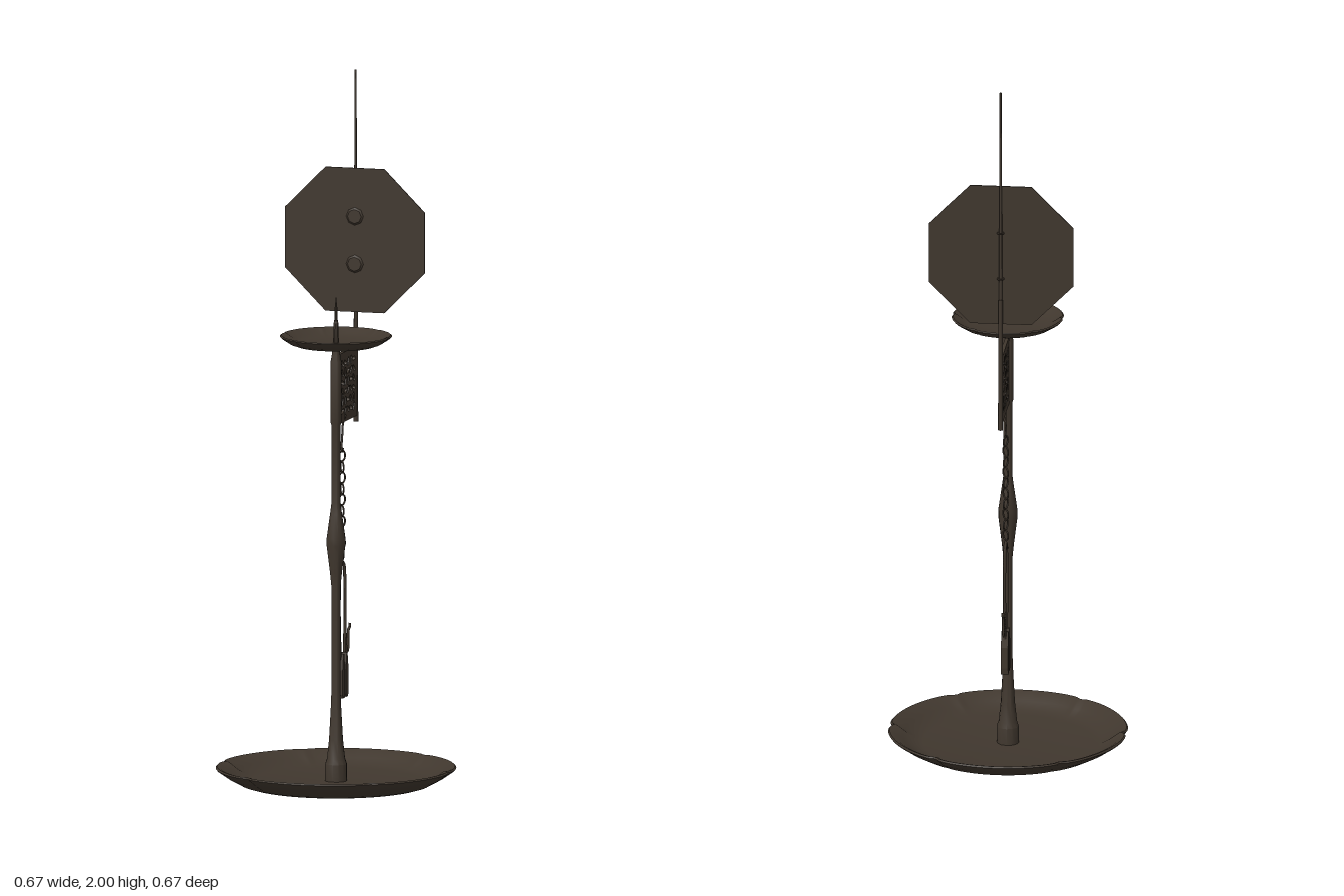
import * as THREE from 'three';
import { mergeVertices, toCreasedNormals } from 'three/addons/utils/BufferGeometryUtils.js';

const iron = new THREE.MeshStandardMaterial({ color: 0x40372e });
iron.name = 'darkIron';

const V2 = (a) => a.map(([x, y]) => new THREE.Vector2(x, y));
const rad = THREE.MathUtils.degToRad;

function add(parent, name, geometry, x = 0, y = 0, z = 0) {
  const mesh = new THREE.Mesh(geometry, iron);
  mesh.name = name;
  mesh.position.set(x, y, z);
  parent.add(mesh);
  return mesh;
}

// Turned part with crisp edges
function turned(profile, sides) {
  return toCreasedNormals(new THREE.LatheGeometry(V2(profile), sides), 0.6);
}

// Wire along points given as [z, y, x]
function wire(points, radius, steps = 32) {
  const path = new THREE.CatmullRomCurve3(points.map(([z, y, x = 0]) => new THREE.Vector3(x, y, z)));
  return new THREE.TubeGeometry(path, steps, radius, 6);
}

// Flat plate in the z-y plane; shape x runs towards -z
function sidePlate(shape, thickness) {
  const g = new THREE.ExtrudeGeometry(shape, { depth: thickness, bevelEnabled: false, curveSegments: 4 });
  return g.translate(0, 0, -thickness / 2).rotateY(Math.PI / 2);
}

// Six-lobed dish: a lathe whose wall is pinched inward at the notches
function lobedDish(profile, rimRadius, flatRadius) {
  let g = new THREE.LatheGeometry(V2(profile), 180);
  g.deleteAttribute('uv');
  g.deleteAttribute('normal');
  const p = g.attributes.position;
  const notches = [0, 57, 123, 180, 237, 303].map(rad);
  for (let i = 0; i < p.count; i++) {
    const x = p.getX(i), z = p.getZ(i), r = Math.hypot(x, z);
    const wall = THREE.MathUtils.clamp((r - flatRadius) / (rimRadius - flatRadius), 0, 1);
    if (wall === 0) continue;
    const a = Math.atan2(z, x);
    let d = Math.PI;
    for (const n of notches) d = Math.min(d, Math.abs(Math.atan2(Math.sin(a - n), Math.cos(a - n))));
    const pinch = 0.03 * Math.exp(-((d / 0.025) ** 2)) + 0.012 * Math.exp(-((d / 0.1) ** 2));
    const k = 1 - wall * pinch;
    p.setX(i, x * k);
    p.setZ(i, z * k);
  }
  return toCreasedNormals(mergeVertices(g, 1e-5), 0.7);
}

export function createModel() {
  const model = new THREE.Group();
  model.name = 'candleStand';

  // Dishes
  add(model, 'baseDish', lobedDish([[0, 0], [0.25, 0], [0.27, 0.006], [0.305, 0.025], [0.334, 0.045], [0.337, 0.049],
    [0.333, 0.053], [0.325, 0.051], [0.295, 0.032], [0.265, 0.017], [0.24, 0.012], [0, 0.012]], 0.337, 0.24));
  add(model, 'drippingDish', lobedDish([[0, 0], [0.11, 0], [0.13, 0.007], [0.153, 0.022], [0.157, 0.027],
    [0.153, 0.03], [0.147, 0.027], [0.127, 0.015], [0.108, 0.008], [0, 0.008]], 0.157, 0.1), 0, 1.246, 0);

  // Stem with flared foot, knop and upper sleeve
  add(model, 'stem', turned([[0, 0.01], [0.031, 0.01], [0.031, 0.06], [0.026, 0.075], [0.02, 0.13], [0.015, 0.22],
    [0.013, 0.27], [0.013, 0.56], [0.017, 0.6], [0.027, 0.68], [0.027, 0.7], [0.017, 0.77], [0.013, 0.8],
    [0.013, 1.02], [0.016, 1.03], [0.016, 1.2], [0.012, 1.22], [0.012, 1.25], [0, 1.25]], 12));
  add(model, 'candleSpike', turned([[0, 1.25], [0.008, 1.25], [0.007, 1.31], [0.005, 1.315], [0.004, 1.35],
    [0, 1.388]], 10));

  // Pierced bracket between stem and pole
  const panel = new THREE.Shape(V2([[0.012, 1.02], [0.187, 1.02], [0.187, 1.218], [0.012, 1.218]]));
  const turns = [20, 130, 75, 160, 45, 100, 0, 60, 145];
  for (let row = 0; row < 6; row++) {
    for (let col = 0; col < 5; col++) {
      const a = rad(turns[(row * 7 + col * 4) % 9]);
      const u = 0.049 + col * 0.027, v = 1.052 + row * 0.027;
      const slot = new THREE.Path();
      const dx = Math.cos(a) * 0.008, dy = Math.sin(a) * 0.008;
      slot.absarc(u + dx, v + dy, 0.0051, a - Math.PI / 2, a + Math.PI / 2);
      slot.absarc(u - dx, v - dy, 0.0051, a + Math.PI / 2, a + Math.PI * 1.5);
      panel.holes.push(slot);
    }
  }
  add(model, 'piercedBracket', sidePlate(panel, 0.01));

  // Pole carrying the reflector
  add(model, 'poleSocket', new THREE.CylinderGeometry(0.006, 0.007, 0.385, 8), 0, 1.195, -0.193);
  add(model, 'pole', new THREE.CylinderGeometry(0.003, 0.005, 0.62, 8), 0, 1.69, -0.19);

  // Octagonal reflector with two bosses and rear clips
  const w = 0.204, c = 0.086;
  const octagon = new THREE.Shape(V2([[w, -c], [w, c], [c, w], [-c, w], [-w, c], [-w, -c], [-c, -w], [c, -w]]));
  add(model, 'reflector', new THREE.ExtrudeGeometry(octagon, { depth: 0.004, bevelEnabled: false }), 0, 1.518, -0.186);
  for (const y of [1.585, 1.45]) {
    add(model, 'boss', new THREE.CylinderGeometry(0.02, 0.026, 0.005, 8).rotateX(Math.PI / 2), 0, y, -0.18);
    add(model, 'clip', new THREE.TorusGeometry(0.008, 0.0025, 6, 14).rotateX(Math.PI / 2), 0, y, -0.192);
  }

  // Chain hung from the bracket
  const chain = new THREE.Group();
  chain.name = 'chain';
  model.add(chain);
  add(chain, 'chainHook', wire([[-0.07, 1.04, 0.007], [-0.068, 1.015], [-0.06, 0.98], [-0.054, 0.95], [-0.06, 0.935],
    [-0.067, 0.945]], 0.003));
  for (let i = 0; i < 10; i++) {
    const link = add(chain, 'link', new THREE.TorusGeometry(0.015, 0.0025, 6, 16), 0, 0.924 - i * 0.031, -0.059);
    link.rotation.y = Math.PI / 2 + (i % 2 ? 0.6 : -0.3);
  }

  // Snuffing tongs: two arms, blades and hooks
  const tongs = new THREE.Group();
  tongs.name = 'tongs';
  tongs.position.z = -0.06;
  model.add(tongs);
  for (const s of [1, -1]) {
    add(tongs, 'arm', wire([[0, 0.625], [s * 0.018, 0.613], [s * 0.026, 0.57], [s * 0.029, 0.48], [s * 0.024, 0.4],
      [s * 0.019, 0.34]], 0.0045));
    const blade = new THREE.Shape(V2([[-0.013, 0.25], [-0.008, 0.24], [0.009, 0.24], [0.012, 0.26], [0.012, 0.32],
      [0.003, 0.365], [-0.004, 0.365], [-0.012, 0.32]]));
    add(tongs, 'blade', sidePlate(blade, 0.02), 0, 0, s * 0.016);
  }
  add(tongs, 'armHook', wire([[-0.027, 0.43], [-0.034, 0.39], [-0.045, 0.362], [-0.056, 0.37], [-0.056, 0.4],
    [-0.062, 0.425], [-0.073, 0.428], [-0.072, 0.44]], 0.004));
  add(model, 'stemHook', wire([[-0.008, 0.59], [-0.028, 0.597], [-0.045, 0.602], [-0.055, 0.62]], 0.0035, 12));

  return model;
}
